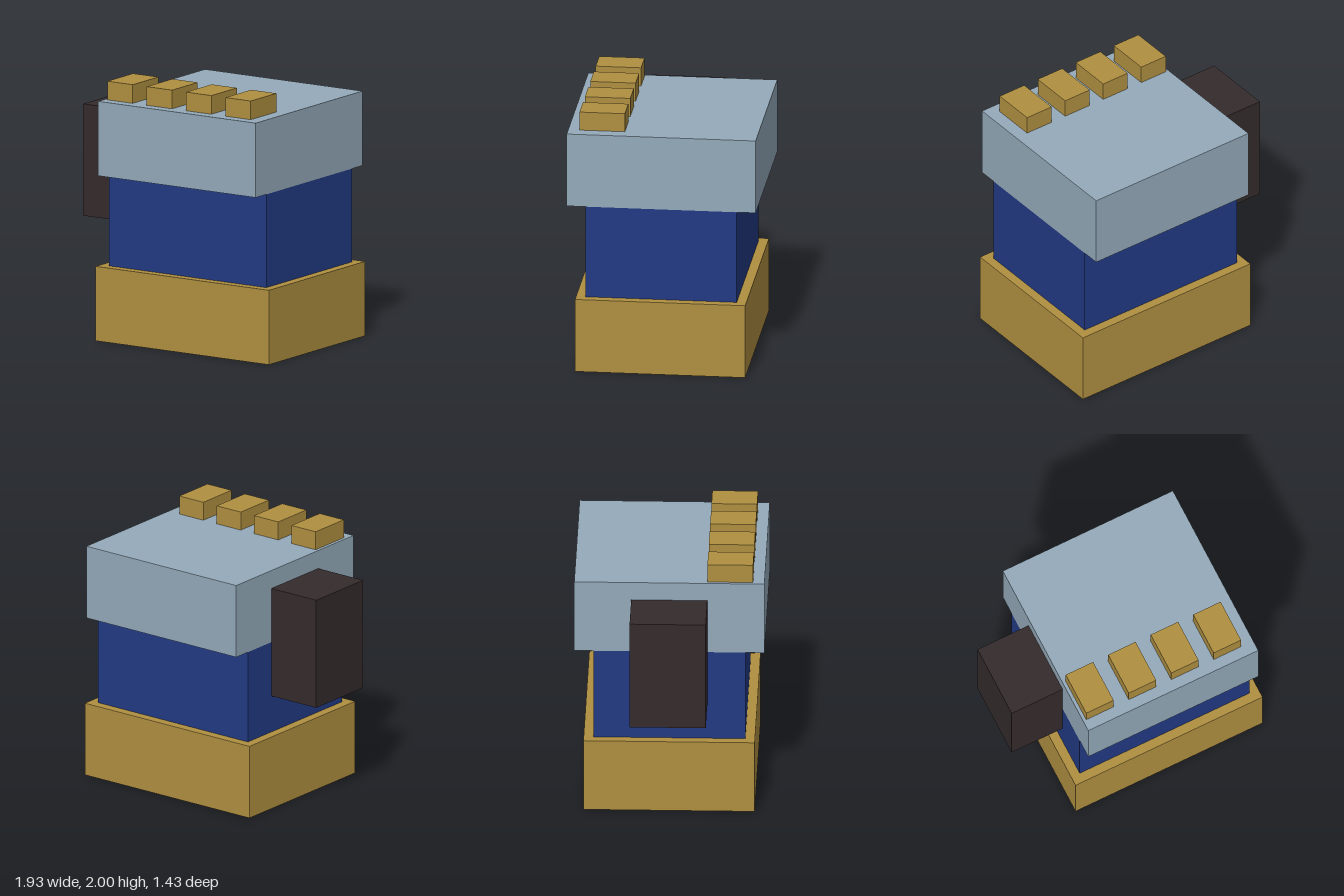
import * as THREE from 'three';

const gold = new THREE.MeshStandardMaterial({ name: 'gold', color: 0xb08f40 });
const blue = new THREE.MeshStandardMaterial({ name: 'deep blue', color: 0x223a84 });
const steel = new THREE.MeshStandardMaterial({ name: 'pale steel', color: 0x94aaba });
const dark = new THREE.MeshStandardMaterial({ name: 'dark brown', color: 0x352b2c });

// Box given by its minimum and maximum corners
function block(name, material, min, max) {
  const size = max.map((v, i) => v - min[i]);
  const mesh = new THREE.Mesh(new THREE.BoxGeometry(...size), material);
  mesh.position.set(...max.map((v, i) => (v + min[i]) / 2));
  mesh.name = name;
  return mesh;
}

export function createModel() {
  const model = new THREE.Group();
  model.name = 'gauntlet';

  // Stacked blocks: wide cuff, narrower middle, overhanging top
  model.add(
    block('cuff', gold, [-0.607, 0, -0.643], [0.964, 0.571, 0.643]),
    block('palm', blue, [-0.536, 0.571, -0.571], [0.893, 1.286, 0.571]),
    block('fist', steel, [-0.536, 1.286, -0.714], [0.893, 1.857, 0.714]),
    block('thumb', dark, [-0.964, 0.857, -0.286], [-0.536, 1.714, 0.286]),
  );

  // Row of four knuckles along the front edge of the top
  const knuckles = new THREE.Group();
  knuckles.name = 'knuckles';
  for (let i = 0; i < 4; i++) {
    const x = -0.51 + i * 0.357;
    knuckles.add(block('knuckle', gold, [x, 1.857, 0.286], [x + 0.23, 2, 0.629]));
  }
  model.add(knuckles);
  return model;
}
